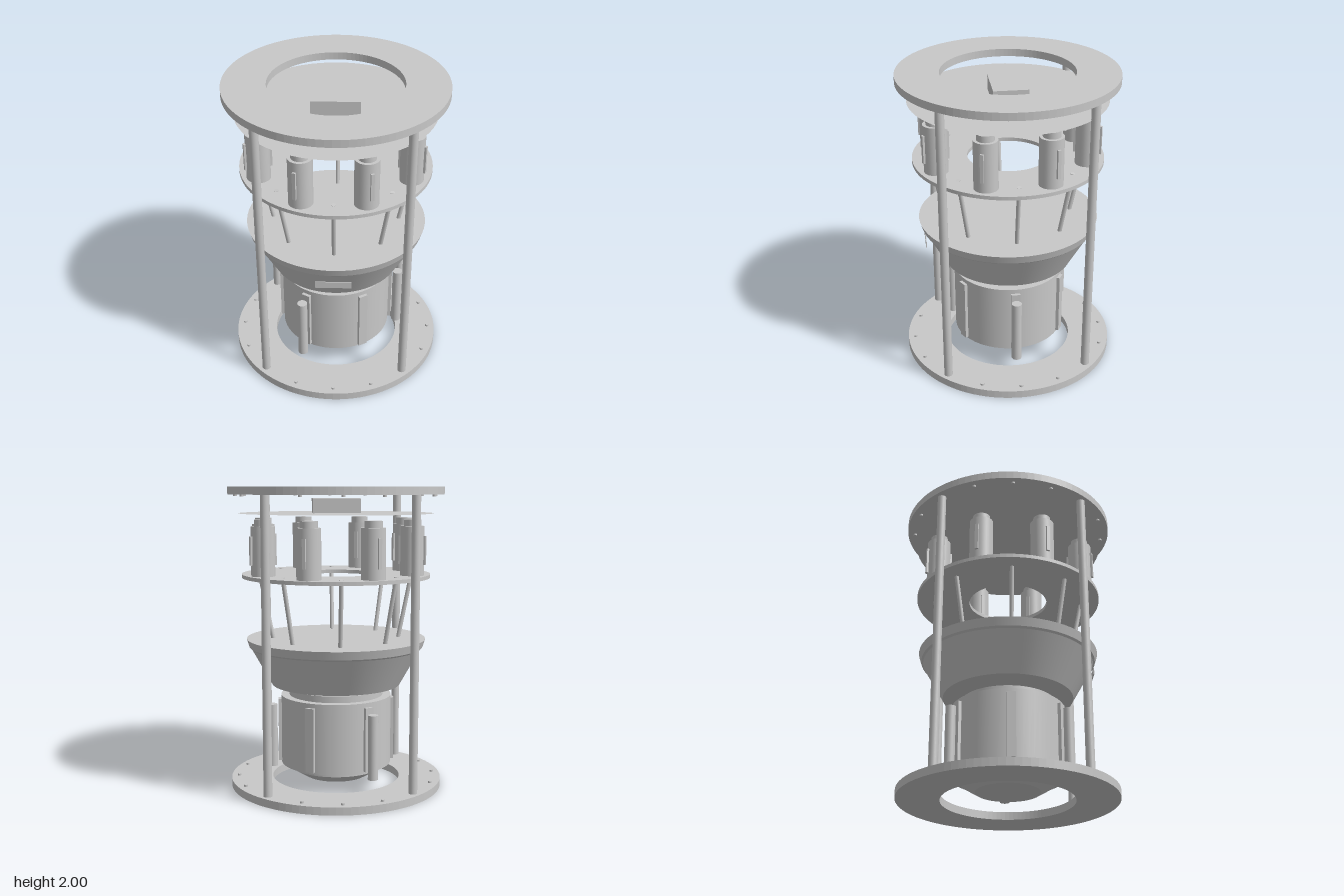
import * as THREE from 'three';

export function createModel() {
  const model = new THREE.Group();
  const metal = new THREE.MeshStandardMaterial({ color: 0xc8c8c8 });
  metal.name = 'light grey metal';
  metal.side = THREE.DoubleSide;

  const add = (name, geometry, x = 0, y = 0, z = 0, ry = 0) => {
    const mesh = new THREE.Mesh(geometry, metal);
    mesh.name = name;
    mesh.position.set(x, y, z);
    mesh.rotation.y = ry;
    model.add(mesh);
    return mesh;
  };
  // Point on a circle, angle measured from +z towards +x
  const polar = (r, a, y = 0) => new THREE.Vector3(r * Math.sin(a), y, r * Math.cos(a));
  const ringOf = (count, offset, fn) => {
    for (let i = 0; i < count; i++) fn(offset + (i / count) * Math.PI * 2);
  };
  const cyl = (name, r, y0, y1, p = new THREE.Vector3(), seg = 24) =>
    add(name, new THREE.CylinderGeometry(r, r, y1 - y0, seg), p.x, (y0 + y1) / 2, p.z);
  const rod = (name, a, b, r) => {
    const dir = b.clone().sub(a);
    const mesh = add(name, new THREE.CylinderGeometry(r, r, dir.length(), 16));
    mesh.position.copy(a).addScaledVector(dir, 0.5);
    mesh.quaternion.setFromUnitVectors(new THREE.Vector3(0, 1, 0), dir.normalize());
  };
  // Flat ring plate with a round hole
  const ringPlate = (name, outer, inner, y0, y1) => {
    const shape = new THREE.Shape().absarc(0, 0, outer, 0, Math.PI * 2, false);
    shape.holes.push(new THREE.Path().absarc(0, 0, inner, 0, Math.PI * 2, true));
    const g = new THREE.ExtrudeGeometry(shape, { depth: y1 - y0, bevelEnabled: false, curveSegments: 48 });
    g.rotateX(-Math.PI / 2);
    add(name, g, 0, y0, 0);
  };
  // Stack of sharp-edged turned sections, each [bottom radius, bottom y, top radius, top y]
  const turned = (name, sections) => sections.forEach(([r0, y0, r1, y1]) =>
    add(name, new THREE.CylinderGeometry(r1, r0, y1 - y0, 64), 0, (y0 + y1) / 2, 0));

  // Outer frame
  ringPlate('bottomPlate', 0.71, 0.43, 0, 0.052);
  ringPlate('topPlate', 0.71, 0.43, 1.95, 2);
  ringOf(4, Math.PI / 4, a => cyl('post', 0.028, 0.05, 1.952, polar(0.657, a)));
  ringOf(16, 0, a => {
    cyl('lowerBolt', 0.012, 0.045, 0.065, polar(0.66, a), 12);
    cyl('upperBolt', 0.012, 1.938, 1.955, polar(0.66, a), 12);
  });

  // Thin disc and control box under the top plate
  const disc = new THREE.CircleGeometry(0.643, 64);
  disc.rotateX(-Math.PI / 2);
  add('thinDisc', disc, 0, 1.828, 0);
  add('controlBox', new THREE.BoxGeometry(0.31, 0.095, 0.226), 0, 1.877, 0);

  // Middle shelf with canisters
  ringPlate('middlePlate', 0.624, 0.266, 1.408, 1.432);
  ringOf(8, Math.PI / 8, a => {
    cyl('canister', 0.077, 1.43, 1.75, polar(0.52, a), 32);
    cyl('canisterCap', 0.056, 1.75, 1.792, polar(0.52, a), 32);
    for (const r of [0.44, 0.6]) {
      const p = polar(r, a, 1.595);
      add('canisterStrip', new THREE.BoxGeometry(0.022, 0.185, 0.02), p.x, p.y, p.z, a);
    }
  });

  // Slanted struts from shelf to bowl, short ones below the bowl
  ringOf(8, 0, a => {
    rod('strut', polar(0.42, a, 0.998), polar(0.507, a, 1.435), 0.014);
    rod('shortStrut', polar(0.145, a, 0.65), polar(0.155, a, 0.7), 0.013);
  });

  // Closed bowl with rim and front label plate
  turned('bowl', [[0.43, 0.69, 0.567, 0.935], [0.567, 0.935, 0.58, 0.946], [0.58, 0.946, 0.597, 1.0]]);
  add('labelPlate', new THREE.BoxGeometry(0.23, 0.046, 0.005), 0, 0.86, 0.56);

  // Lower drum
  turned('drum', [[0.21, 0.058, 0.312, 0.12], [0.312, 0.12, 0.312, 0.15],
    [0.37, 0.15, 0.37, 0.617], [0.315, 0.617, 0.315, 0.66]]);
  ringOf(6, Math.PI / 6, a => {
    const p = polar(0.37, a, 0.375);
    add('drumFin', new THREE.BoxGeometry(0.06, 0.425, 0.04), p.x, p.y, p.z, a);
  });
  ringOf(3, Math.PI / 2, a => cyl('sidePipe', 0.033, 0.12, 0.548, polar(0.43, a)));

  return model;
}
